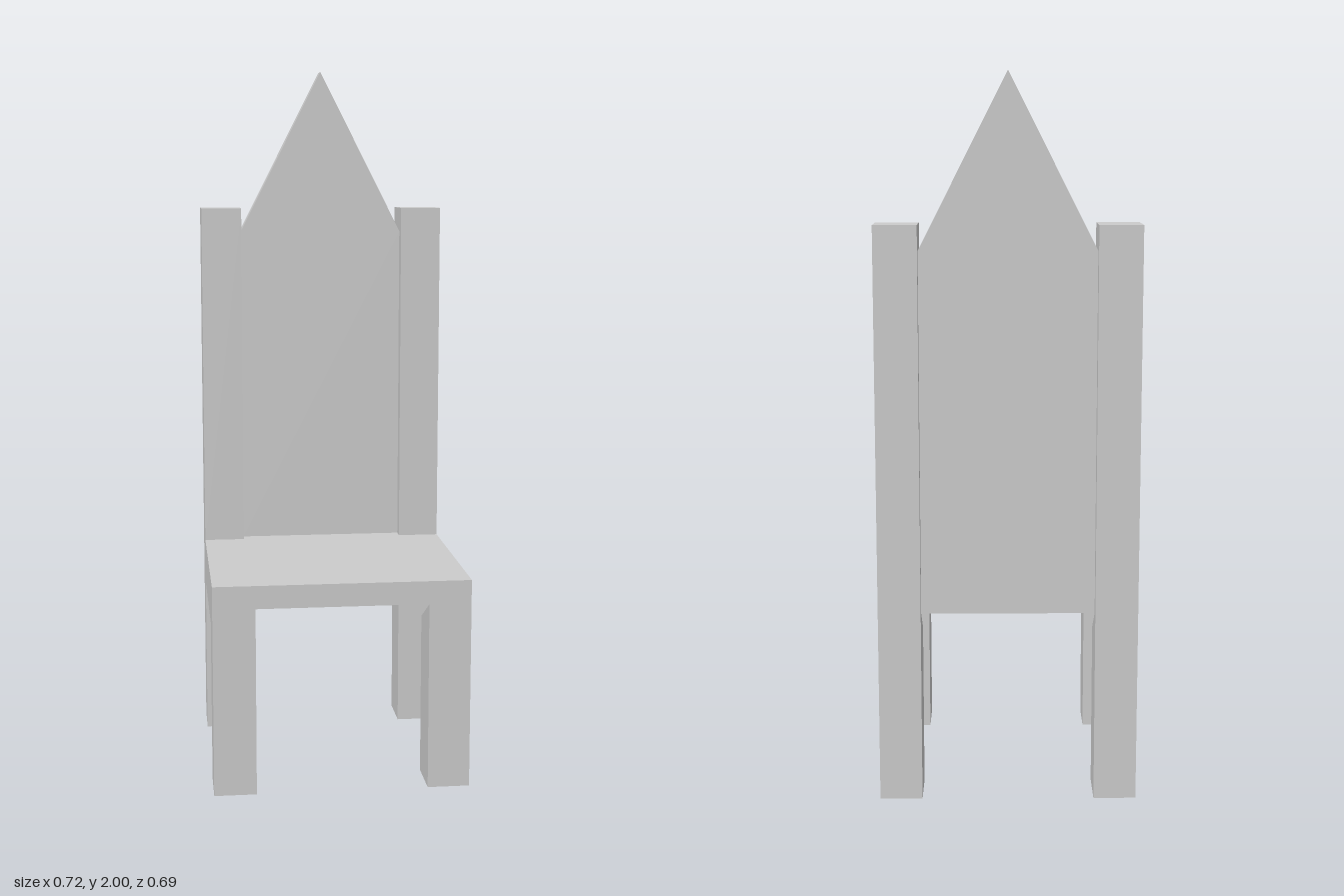
import * as THREE from 'three';

// Main dimensions
const W = 0.358, WI = 0.24;            // outer and inner half width of the legs
const D = 0.345, DI = 0.214;           // outer and inner half depth of the legs
const SEAT = 0.595, FRONT = 0.53, SIDE = 0.46; // seat top, front and side apron bottoms
const POST = 1.6, SHOULDER = 1.53, PEAK = 2;
const PB = -0.313, PF = -0.249;        // back and front of the backrest panel

export function createModel() {
  const model = new THREE.Group();
  const material = new THREE.MeshStandardMaterial({
    color: 0xcccccc, flatShading: true, side: THREE.DoubleSide,
  });

  function add(name, geometry) {
    const mesh = new THREE.Mesh(geometry, material);
    mesh.name = name;
    model.add(mesh);
    return mesh;
  }

  // Flat sheet across one axis: points are [x,y] for z, [z,y] for x, [x,z] for y
  function sheet(name, axis, offset, points) {
    const shape = new THREE.Shape(points.map(([a, b]) => new THREE.Vector2(
      axis === 'x' ? -a : a, axis === 'y' ? -b : b)));
    const g = new THREE.ShapeGeometry(shape);
    if (axis === 'x') g.rotateY(Math.PI / 2);
    if (axis === 'y') g.rotateX(-Math.PI / 2);
    const mesh = add(name, g);
    mesh.position[axis] = offset;
  }
  const rect = (a0, b0, a1, b1) => [[a0, b0], [a1, b0], [a1, b1], [a0, b1]];

  // Seat top, running back between the posts to the panel
  sheet('seatTop', 'y', SEAT, [
    [-W, D], [W, D], [W, -DI], [WI, -DI], [WI, PF], [-WI, PF], [-WI, -DI], [-W, -DI],
  ]);

  // Front apron with the faces of the front legs
  sheet('frontApronAndLegs', 'z', D, [
    [-W, 0], [-WI, 0], [-WI, FRONT], [WI, FRONT], [WI, 0], [W, 0], [W, SEAT], [-W, SEAT],
  ]);

  for (const s of [-1, 1]) {
    const side = s > 0 ? 'left' : 'right';
    const strip = (y0, y1) => rect(s * WI, y0, s * W, y1);

    // Side apron with the outer faces of leg and post
    sheet(side + 'SideApronAndPost', 'x', s * W, [
      [D, 0], [DI, 0], [DI, SIDE], [-DI, SIDE], [-DI, 0],
      [-D, 0], [-D, POST], [-DI, POST], [-DI, SEAT], [D, SEAT],
    ]);

    // Front leg: inner and rear walls, open underneath
    sheet(side + 'FrontLegInner', 'x', s * WI, [[D, 0], [DI, 0], [DI, SIDE], [D, FRONT]]);
    sheet(side + 'FrontLegRear', 'z', DI, strip(0, SIDE));

    // Back leg and post: rear, front and inner walls, and the cap
    sheet(side + 'PostRear', 'z', -D, strip(0, POST));
    sheet(side + 'BackLegFront', 'z', -DI, strip(0, SIDE));
    sheet(side + 'PostFront', 'z', -DI, strip(SEAT, POST));
    sheet(side + 'PostInner', 'x', s * WI, [
      [-D, 0], [-DI, 0], [-DI, SIDE], [PB, FRONT], [PB, SHOULDER],
      [PF, SHOULDER], [PF, SEAT], [-DI, SEAT], [-DI, POST], [-D, POST],
    ]);
    sheet(side + 'PostCap', 'y', POST, rect(s * WI, -D, s * W, -DI));

    // Sloping top edge of the pointed backrest
    const rise = PEAK - SHOULDER;
    const slope = new THREE.PlaneGeometry(Math.hypot(WI, rise), PF - PB);
    slope.rotateX(-Math.PI / 2);
    slope.rotateZ(-s * Math.atan2(rise, WI));
    slope.translate(s * WI / 2, (PEAK + SHOULDER) / 2, (PF + PB) / 2);
    add(side + 'BackrestSlope', slope);
  }

  // Pointed backrest faces
  const pointed = (y0) => [[-WI, y0], [WI, y0], [WI, SHOULDER], [0, PEAK], [-WI, SHOULDER]];
  sheet('backrestFront', 'z', PF, pointed(SEAT));
  sheet('backrestRear', 'z', PB, pointed(FRONT));

  return model;
}
